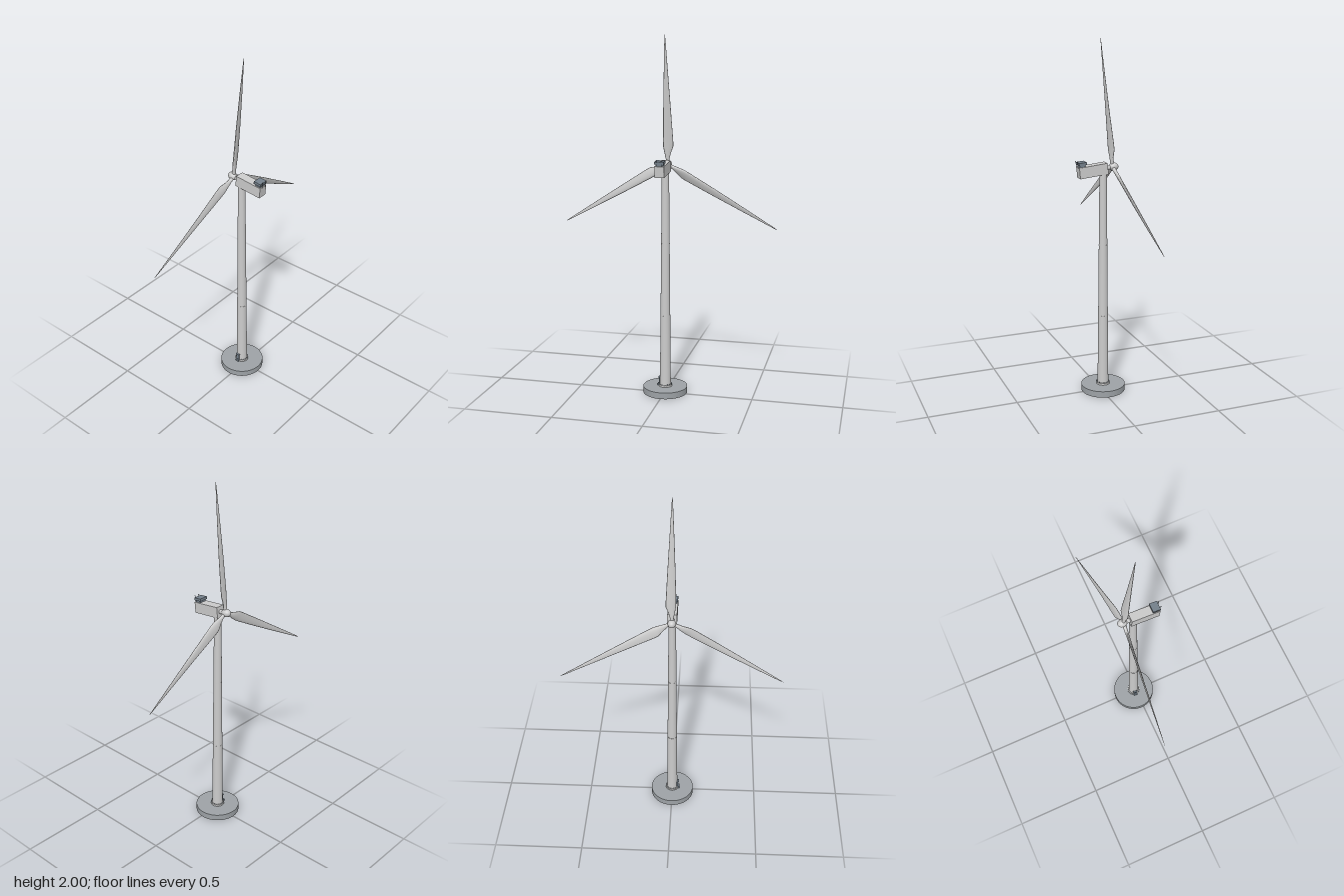
import * as THREE from 'three';

const grey = new THREE.MeshStandardMaterial({ color: 0xcccccc });
const concrete = new THREE.MeshStandardMaterial({ color: 0x9da2a6 });
const dark = new THREE.MeshStandardMaterial({ color: 0x75818c });

function add(parent, name, geometry, material, x = 0, y = 0, z = 0) {
  const mesh = new THREE.Mesh(geometry, material);
  mesh.name = name;
  mesh.position.set(x, y, z);
  parent.add(mesh);
  return mesh;
}

const box = (w, h, d) => new THREE.BoxGeometry(w, h, d);
const cyl = (top, bottom, h, n = 32) => new THREE.CylinderGeometry(top, bottom, h, n);

// Blade lofted along +y from stations: [radius, leading z, trailing z, half thickness, twist]
function bladeGeometry() {
  const stations = [
    [0.0, 0.01, -0.01, 0.01, 0],
    [0.03, 0.01, -0.01, 0.01, 0.05],
    [0.06, 0.016, -0.018, 0.009, 0.22],
    [0.1, 0.023, -0.033, 0.0075, 0.28],
    [0.13, 0.023, -0.033, 0.0068, 0.26],
    [0.3, 0.018, -0.024, 0.0048, 0.15],
    [0.5, 0.0105, -0.013, 0.003, 0.07],
    [0.68, 0.003, -0.003, 0.001, 0],
    [0.704, 0.0004, -0.0004, 0.0003, 0],
  ];
  const n = 16, pos = [], index = [];
  stations.forEach(([r, lead, trail, t, twist], i) => {
    const blend = Math.min(1, r / 0.1);
    for (let j = 0; j < n; j++) {
      const a = (j / n) * Math.PI * 2;
      const z = (lead + trail) / 2 + ((lead - trail) / 2) * Math.cos(a);
      const x = t * Math.sin(a) * (1 + 0.4 * blend * Math.cos(a));
      pos.push(x * Math.cos(twist) + z * Math.sin(twist), r, z * Math.cos(twist) - x * Math.sin(twist));
      if (i < stations.length - 1) {
        const p = i * n + j, q = i * n + ((j + 1) % n);
        index.push(p, q, p + n, q, q + n, p + n);
      }
    }
  });
  const g = new THREE.BufferGeometry();
  g.setAttribute('position', new THREE.Float32BufferAttribute(pos, 3));
  g.setIndex(index);
  g.computeVertexNormals();
  return g;
}

export function createModel() {
  const model = new THREE.Group();
  model.name = 'windTurbine';

  // Foundation and tower share one axis
  const mast = new THREE.Group();
  mast.name = 'mast';
  mast.position.x = -0.015;
  model.add(mast);
  add(mast, 'foundation', cyl(0.125, 0.125, 0.036, 48), concrete, 0, 0.018);
  add(mast, 'baseFlange', cyl(0.038, 0.038, 0.01), grey, 0, 0.041);

  const bottomR = 0.031, topR = 0.02, towerH = 1.234;
  add(mast, 'tower', cyl(topR, bottomR, towerH), grey, 0, 0.036 + towerH / 2);
  for (const y of [0.45, 0.863]) {
    const r = bottomR + (topR - bottomR) * ((y - 0.036) / towerH) + 0.0006;
    add(mast, 'towerSeam', cyl(r, r, 0.004), grey, 0, y);
  }
  add(mast, 'yawRing', cyl(0.0225, 0.0225, 0.012), grey, 0, 1.263);

  // Anchor bolts
  for (let i = 0; i < 16; i++) {
    const a = ((i + 0.5) / 16) * Math.PI * 2;
    add(mast, 'anchorBolt', cyl(0.0018, 0.0018, 0.006, 6), dark, 0.035 * Math.cos(a), 0.048, 0.035 * Math.sin(a));
  }

  // Entrance with step and canopy
  add(mast, 'door', box(0.02, 0.036, 0.01), dark, -0.003, 0.064, 0.03);
  add(mast, 'doorCanopy', box(0.025, 0.003, 0.014), dark, -0.003, 0.0835, 0.033);
  add(mast, 'doorStep', box(0.024, 0.012, 0.016), dark, -0.003, 0.041, 0.036);

  // Tilted head: local +x runs from the hub to the rear
  const head = new THREE.Group();
  head.name = 'head';
  head.position.set(-0.07, 1.3, 0);
  head.rotation.z = -0.1;
  model.add(head);

  add(head, 'nacelle', box(0.163, 0.061, 0.052), grey, 0.1175, 0, 0);
  const shaft = add(head, 'mainShaft', cyl(0.012, 0.012, 0.04, 24), grey, 0.025, 0, 0);
  shaft.rotation.z = Math.PI / 2;

  // Roof cooler
  add(head, 'coolerStand', box(0.032, 0.012, 0.04), dark, 0.178, 0.036, 0);
  add(head, 'cooler', box(0.044, 0.014, 0.052), dark, 0.176, 0.049, 0);

  // Wind sensors at the rear
  for (const s of [-1, 1]) {
    add(head, 'sensorMast', cyl(0.0012, 0.0012, 0.034, 8), dark, 0.2025, 0.045, s * 0.014);
    add(head, 'sensor', new THREE.SphereGeometry(0.003, 10, 8), dark, 0.2025, 0.062, s * 0.014);
  }

  // Rotor
  const rotor = new THREE.Group();
  rotor.name = 'rotor';
  head.add(rotor);
  const hub = add(rotor, 'hub', new THREE.SphereGeometry(0.022, 32, 20), grey, -0.006, 0, 0);
  hub.scale.x = 1.25;
  const blade = bladeGeometry();
  for (let i = 0; i < 3; i++) {
    add(rotor, 'blade', blade, grey).rotation.x = (i * Math.PI * 2) / 3;
  }
  return model;
}
